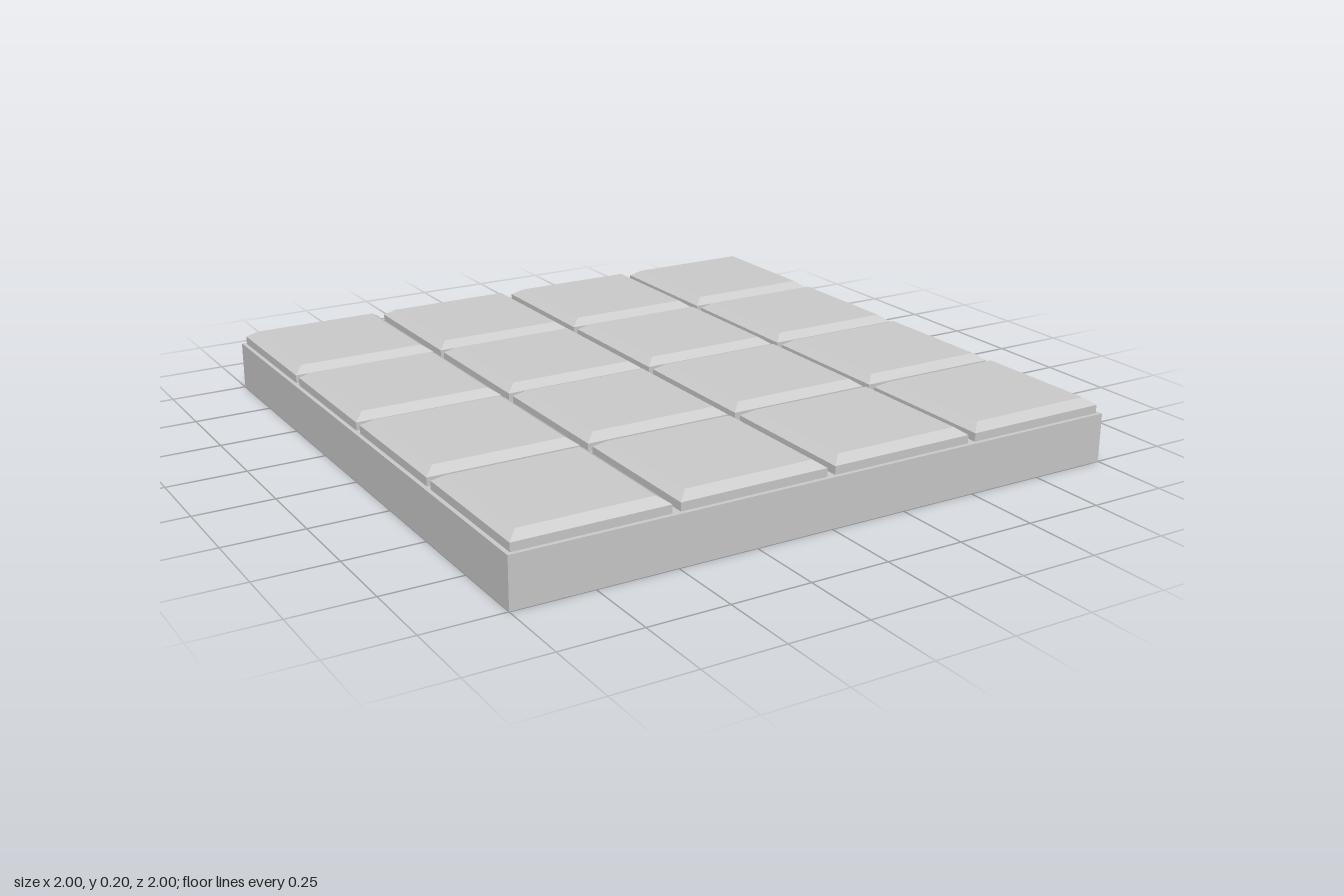
import * as THREE from 'three';

const SIZE = 2, COUNT = 4, PITCH = SIZE / COUNT;
const BASE_TOP = 0.155;
const TILE = { width: 0.474, bottom: 0.065, shoulder: 0.181, top: 0.202, bevel: 0.031 };

// Square block whose upper edges are bevelled
function tileGeometry() {
  const { width, bottom, shoulder, top, bevel } = TILE;
  const box = new THREE.BoxGeometry(width, 2, width, 1, 2, 1);
  const pos = box.attributes.position;
  const heights = [bottom, shoulder, top];
  for (let i = 0; i < pos.count; i++) {
    const level = Math.round(pos.getY(i) + 1);
    const k = level === 2 ? 1 - (2 * bevel) / width : 1;
    pos.setXYZ(i, pos.getX(i) * k, heights[level], pos.getZ(i) * k);
  }
  const flat = box.toNonIndexed();
  flat.computeVertexNormals();
  return flat;
}

export function createModel() {
  const model = new THREE.Group();
  model.name = 'tiledSlab';
  const grey = new THREE.MeshStandardMaterial({ color: 0xcccccc, flatShading: true });
  const thin = new THREE.MeshStandardMaterial({ color: 0xcccccc, flatShading: true, side: THREE.DoubleSide });

  // Hollow base, open underneath: four thin walls and a top sheet
  const base = new THREE.Group();
  base.name = 'base';
  const wallShape = new THREE.PlaneGeometry(SIZE, BASE_TOP);
  for (let i = 0; i < 4; i++) {
    const wall = new THREE.Mesh(wallShape, thin);
    const angle = (i * Math.PI) / 2;
    wall.name = 'baseWall';
    wall.rotation.y = angle;
    wall.position.set(Math.sin(angle) * SIZE / 2, BASE_TOP / 2, Math.cos(angle) * SIZE / 2);
    base.add(wall);
  }
  const sheet = new THREE.Mesh(new THREE.PlaneGeometry(SIZE, SIZE), thin);
  sheet.name = 'baseTop';
  sheet.rotation.x = -Math.PI / 2;
  sheet.position.y = BASE_TOP;
  base.add(sheet);
  model.add(base);

  // Grid of bevelled tiles that pass through the top sheet
  const tiles = new THREE.Group();
  tiles.name = 'tiles';
  const shape = tileGeometry();
  for (let row = 0; row < COUNT; row++) {
    for (let col = 0; col < COUNT; col++) {
      const tile = new THREE.Mesh(shape, grey);
      tile.name = 'tile';
      tile.position.set((col + 0.5) * PITCH - SIZE / 2, 0, (row + 0.5) * PITCH - SIZE / 2);
      tiles.add(tile);
    }
  }
  model.add(tiles);
  return model;
}
